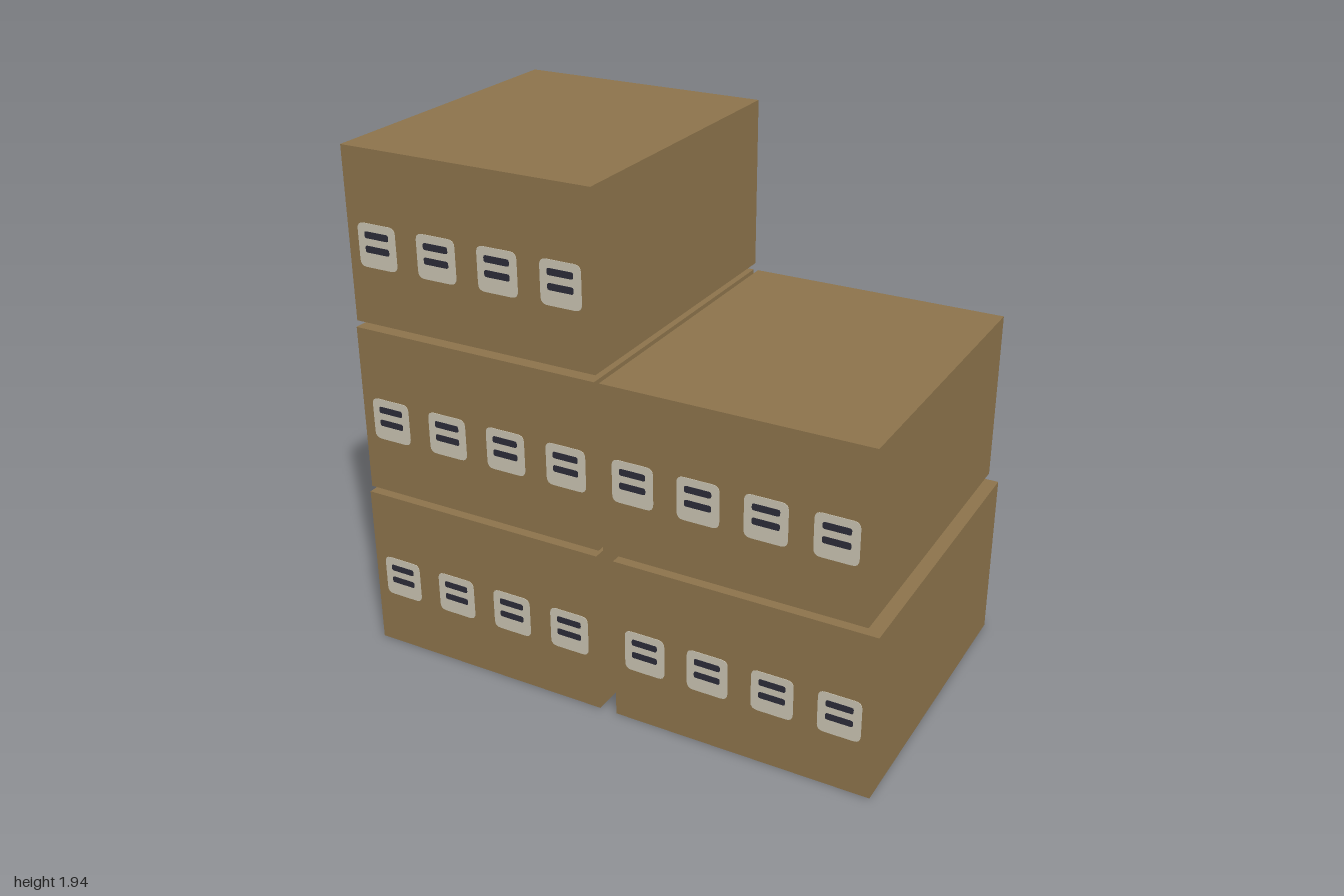
import * as THREE from 'three';

const W = 0.967, H = 0.629, D = 1.164, PITCH = 0.655;

// Rounded rectangle plate centred on the origin, facing both ways
function plate(w, h, r, depth) {
  const x = w / 2, y = h / 2;
  const s = new THREE.Shape();
  s.moveTo(-x + r, -y);
  s.lineTo(x - r, -y).quadraticCurveTo(x, -y, x, -y + r);
  s.lineTo(x, y - r).quadraticCurveTo(x, y, x - r, y);
  s.lineTo(-x + r, y).quadraticCurveTo(-x, y, -x, y - r);
  s.lineTo(-x, -y + r).quadraticCurveTo(-x, -y, -x + r, -y);
  const g = new THREE.ExtrudeGeometry(s, { depth, bevelEnabled: false, curveSegments: 4 });
  return g.translate(0, 0, -depth / 2);
}

// Box shell standing on y = 0, without its bottom face
function openBox() {
  const g = new THREE.BoxGeometry(W, H, D).translate(0, H / 2, 0);
  const index = Array.from(g.index.array);
  index.splice(18, 6);
  g.setIndex(index);
  g.clearGroups();
  return g;
}

export function createModel() {
  const cardboard = new THREE.MeshStandardMaterial({ color: 0x8c734b, side: THREE.DoubleSide });
  cardboard.name = 'cardboard';
  const paper = new THREE.MeshStandardMaterial({ color: 0xc8c2b0 });
  paper.name = 'label paper';
  const ink = new THREE.MeshStandardMaterial({ color: 0x2b2b38 });
  ink.name = 'dark ink';

  const shellGeo = openBox();
  const labelGeo = plate(0.155, 0.158, 0.025, 0.004);
  const barGeo = plate(0.098, 0.024, 0.008, 0.008);

  const add = (parent, name, geo, mat, x, y, z) => {
    const m = new THREE.Mesh(geo, mat);
    m.name = name;
    m.position.set(x, y, z);
    parent.add(m);
  };

  // One carton with a row of four labels on its front and back walls
  function carton(name) {
    const box = new THREE.Group();
    box.name = name;
    add(box, 'shell', shellGeo, cardboard, 0, 0, 0);
    for (const z of [D / 2, -D / 2]) {
      for (let i = 0; i < 4; i++) {
        const x = (i - 1.5) * 0.2425;
        add(box, 'label', labelGeo, paper, x, 0.289, z);
        add(box, 'labelBar', barGeo, ink, x, 0.327, z);
        add(box, 'labelBar', barGeo, ink, x, 0.276, z);
      }
    }
    return box;
  }

  // Stack: [name, centre x, row]
  const model = new THREE.Group();
  model.name = 'cartonStack';
  const stack = [
    ['bottomRightCarton', -0.5165, 0],
    ['bottomLeftCarton', 0.5165, 0],
    ['middleRightCarton', -0.506, 1],
    ['middleLeftCarton', 0.479, 1],
    ['topCarton', -0.5, 2],
  ];
  for (const [name, x, row] of stack) {
    const c = carton(name);
    c.position.set(x, row * PITCH, 0);
    model.add(c);
  }
  return model;
}
